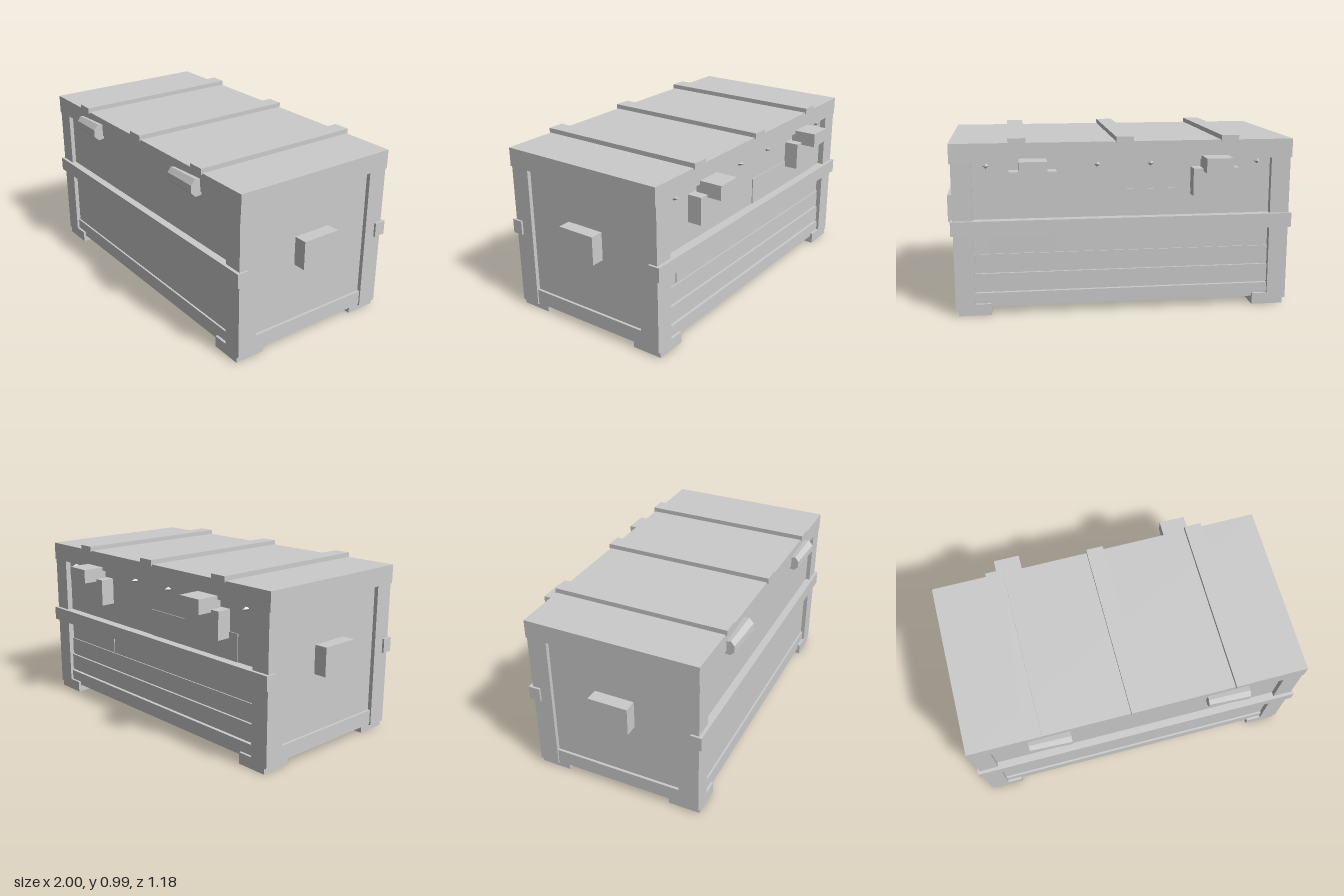
import * as THREE from 'three';

export function createModel() {
  const model = new THREE.Group();
  const material = new THREE.MeshStandardMaterial({ color: 0xcccccc, flatShading: true });

  const add = (name, geometry) => {
    const mesh = new THREE.Mesh(geometry, material);
    mesh.name = name;
    model.add(mesh);
    return mesh;
  };
  // Box given by its limits on each axis
  const box = (name, x0, x1, y0, y1, z0, z1) =>
    add(name, new THREE.BoxGeometry(x1 - x0, y1 - y0, z1 - z0))
      .position.set((x0 + x1) / 2, (y0 + y1) / 2, (z0 + z1) / 2);
  // Box on the +x side together with its mirror image
  const pair = (name, x0, x1, ...rest) => {
    box(name, x0, x1, ...rest);
    box(name, -x1, -x0, ...rest);
  };

  // Recessed body and lid slab
  box('body', -0.925, 0.925, 0.045, 0.9, -0.425, 0.505);
  box('lid', -0.956, 0.956, 0.866, 0.972, -0.462, 0.532);

  // Corner posts and feet
  for (const [z0, z1, f0, f1] of [[0.415, 0.53, 0.35, 0.53], [-0.46, -0.345, -0.46, -0.28]]) {
    pair('cornerPost', 0.838, 0.948, 0.038, 0.9, z0, z1);
    pair('foot', 0.75, 0.932, 0.005, 0.07, f0, f1);
  }

  // Lower rails along the front and the ends
  box('frontLowerRail', -0.838, 0.838, 0.045, 0.13, 0.49, 0.516);
  pair('endLowerRail', 0.91, 0.94, 0.045, 0.13, -0.345, 0.415);

  // Belts across the front and back
  box('frontBelt', -0.96, 0.96, 0.466, 0.547, 0.485, 0.548);
  box('backBelt', -0.96, 0.96, 0.466, 0.547, -0.48, -0.412);

  // Block handles on the ends
  pair('endHandle', 0.9, 1, 0.46, 0.622, -0.08, 0.15);

  // Raised straps on the lid
  for (const x of [-0.592, 0, 0.59])
    box('lidStrap', x - 0.049, x + 0.049, 0.965, 0.998, -0.47, 0.54);

  // Faceted front latches, bevelled and slightly twisted along their length
  const latchProfile = new THREE.Shape([
    [0.525, 0.848], [0.56, 0.843], [0.59, 0.872], [0.588, 0.912], [0.562, 0.942], [0.525, 0.935],
  ].map(([z, y]) => new THREE.Vector2(-z, y)));
  for (const x of [-0.625, 0.385]) {
    const latch = new THREE.ExtrudeGeometry(latchProfile, { depth: 0.235, bevelEnabled: false });
    latch.rotateY(Math.PI / 2);
    const p = latch.attributes.position;
    for (let i = 0; i < p.count; i++)
      if (p.getX(i) < 0.1) p.setXYZ(i, p.getX(i), 0.892 + (p.getY(i) - 0.892) * 0.85 - 0.005, 0.525 + (p.getZ(i) - 0.525) * 0.8);
    latch.computeVertexNormals();
    add('frontLatch', latch).position.x = x;
  }

  // Back hinges: a wide plate with a knuckle block above it
  pair('hingePlate', 0.378, 0.638, 0.665, 0.82, -0.508, -0.415);
  pair('hingeBlock', 0.432, 0.582, 0.805, 0.886, -0.592, -0.44);

  // Back planks and thin plates
  for (const [y0, y1, depth] of [[0.05, 0.13, 0.445], [0.14, 0.24, 0.438], [0.25, 0.35, 0.432]])
    box('backPlank', -0.838, 0.838, y0, y1, -depth, -0.41);
  box('smallBackPlate', 0.38, 0.75, 0.36, 0.465, -0.43, -0.42);
  box('largeBackPlate', -0.7, 0, 0.44, 0.7, -0.43, -0.42);

  // Small pegs below the lid at the back
  for (const x of [-0.76, -0.15, 0.15, 0.76]) {
    const peg = add('backPeg', new THREE.ConeGeometry(0.018, 0.035, 4));
    peg.rotation.x = -Math.PI / 2;
    peg.position.set(x, 0.845, -0.44);
  }
  return model;
}
